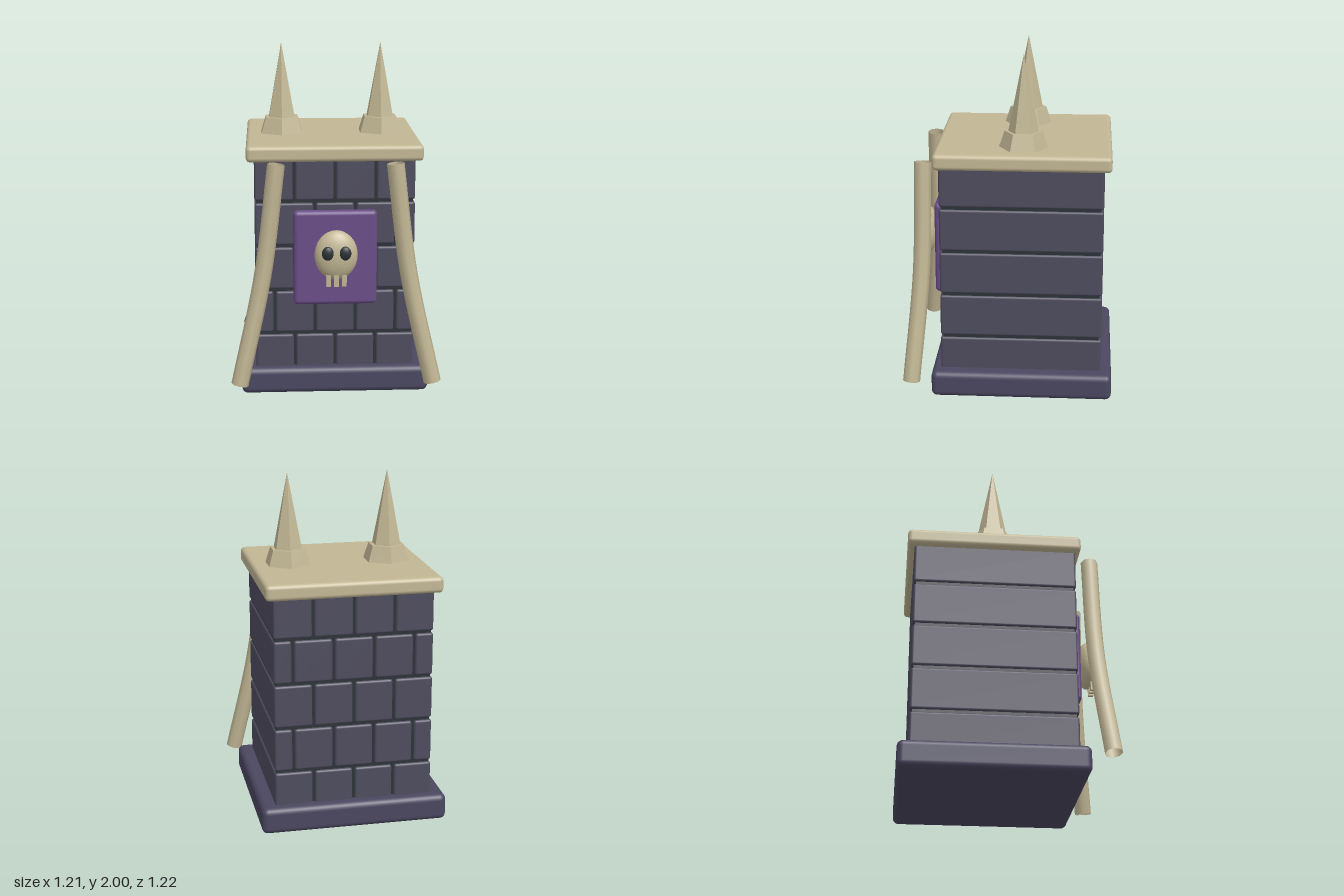
import * as THREE from 'three';
import { RoundedBoxGeometry } from 'three/addons/geometries/RoundedBoxGeometry.js';

const material = (name, color, options = {}) => {
  const m = new THREE.MeshStandardMaterial({ color, ...options });
  m.name = name;
  return m;
};

export function createModel() {
  const model = new THREE.Group();
  model.name = 'skullTower';
  const stone = material('stone', 0x4e4c5e);
  const plinthStone = material('plinthStone', 0x4a4760);
  const mortar = material('mortar', 0x2b3236);
  const cloth = material('purplePlaque', 0x6a4d88);
  const bone = material('bone', 0xc2b795);
  const facetedBone = material('facetedBone', 0xc2b795, { flatShading: true });
  const openBone = material('openBone', 0xc2b795, { side: THREE.DoubleSide });
  const socket = material('eyeSocket', 0x2b3236);

  const add = (name, geometry, mat, x, y, z, parent = model) => {
    const mesh = new THREE.Mesh(geometry, mat);
    mesh.name = name;
    mesh.position.set(x, y, z);
    parent.add(mesh);
    return mesh;
  };
  const rounded = (w, h, d, r) => new RoundedBoxGeometry(w, h, d, 3, r);

  const cz = -0.08; // depth centre of the tower

  // Plinth, mortar core and cap slab
  add('plinth', rounded(1.09, 0.155, 1.055, 0.035), plinthStone, 0, 0.0775, cz);
  add('mortarCore', new THREE.BoxGeometry(0.9, 1.3, 0.91), mortar, 0, 0.75, cz + 0.005);
  add('capSlab', rounded(1.01, 0.092, 1.01, 0.025), bone, 0, 1.42, cz);

  // Five courses of full-depth bricks, alternate courses offset by half a brick
  const bricks = new THREE.Group();
  bricks.name = 'brickCourses';
  model.add(bricks);
  const half = 0.467, pitch = half / 2, gap = 0.014;
  for (let row = 0; row < 5; row++) {
    const start = -half - (row % 2 ? pitch / 2 : 0);
    for (let i = 0; i < 4 + (row % 2); i++) {
      const left = Math.max(-half, start + i * pitch);
      const right = Math.min(half, start + (i + 1) * pitch);
      const geometry = rounded(right - left - gap, 0.247, 0.94, 0.014);
      add('brick', geometry, stone, (left + right) / 2, 0.223 + row * 0.262, cz + 0.005, bricks);
    }
  }

  // Hexagonal spikes with flared collars
  for (const side of [-1, 1]) {
    const spike = new THREE.Group();
    spike.name = side > 0 ? 'leftSpike' : 'rightSpike';
    spike.position.set(side * 0.294, 0, cz);
    model.add(spike);
    add('collar', new THREE.CylinderGeometry(0.109, 0.142, 0.1, 6), facetedBone, 0, 1.51, 0, spike);
    add('point', new THREE.ConeGeometry(0.087, 0.44, 6), facetedBone, 0, 1.78, 0, spike);
  }

  // Curved hollow tusks leaning on the front
  for (const side of [-1, 1]) {
    const path = new THREE.CatmullRomCurve3([
      new THREE.Vector3(side * 0.335, 1.38, 0.495),
      new THREE.Vector3(side * 0.415, 0.75, 0.505),
      new THREE.Vector3(side * 0.555, 0.105, 0.56),
    ]);
    add(side > 0 ? 'leftTusk' : 'rightTusk', new THREE.TubeGeometry(path, 16, 0.05, 8), openBone, 0, 0, 0);
  }

  // Plaque on the front
  add('plaque', rounded(0.48, 0.555, 0.06, 0.025), cloth, 0, 0.818, 0.418);

  // Skull with eye sockets and teeth
  const skull = new THREE.Group();
  skull.name = 'skull';
  model.add(skull);
  const sphere = new THREE.SphereGeometry(1, 24, 16);
  add('cranium', sphere, bone, 0, 0.858, 0.517, skull).scale.set(0.123, 0.144, 0.063);
  for (const side of [-1, 1]) {
    add('eye', sphere, socket, side * 0.049, 0.88, 0.571, skull).scale.set(0.034, 0.04, 0.019);
  }
  for (const x of [-0.045, 0, 0.045]) {
    add('tooth', new THREE.BoxGeometry(0.026, 0.065, 0.03), bone, x, 0.715, 0.545, skull);
  }
  return model;
}
